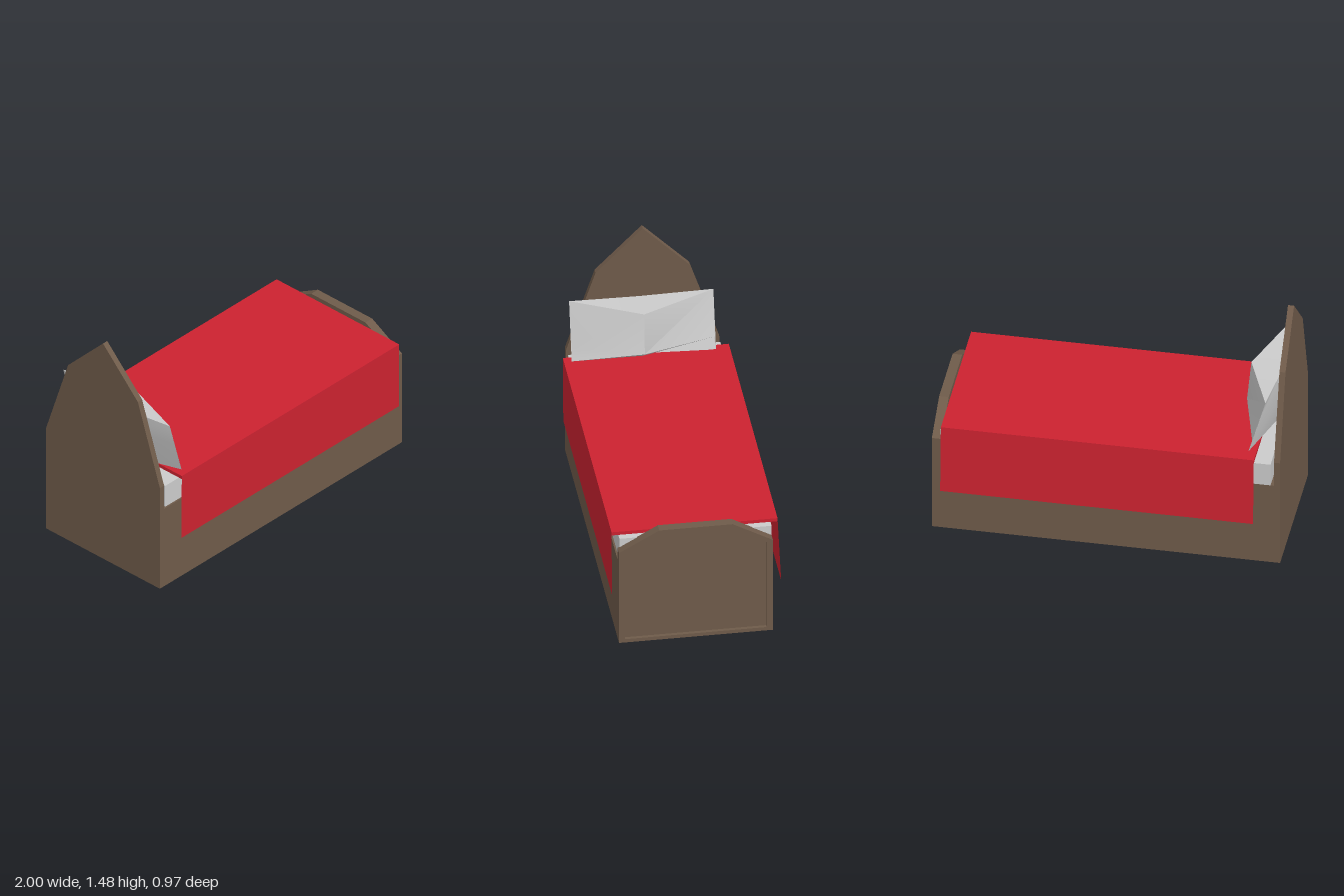
import * as THREE from 'three';
import { toCreasedNormals } from 'three/addons/utils/BufferGeometryUtils.js';

const CENTER_Z = 0.01;

export function createModel() {
  const bed = new THREE.Group();
  bed.name = 'bed';
  const wood = new THREE.MeshStandardMaterial({ color: 0x6f5b4a });
  const red = new THREE.MeshStandardMaterial({ color: 0xcc2230, side: THREE.DoubleSide });
  const grey = new THREE.MeshStandardMaterial({ color: 0xcccccc, side: THREE.DoubleSide });

  function add(name, geometry, material) {
    const mesh = new THREE.Mesh(geometry, material);
    mesh.name = name;
    bed.add(mesh);
    return mesh;
  }

  // Box given by its lower and upper limits on each axis
  function box(name, x0, x1, y0, y1, z0, z1, material) {
    const g = new THREE.BoxGeometry(x1 - x0, y1 - y0, z1 - z0);
    g.translate((x0 + x1) / 2, (y0 + y1) / 2, (z0 + z1) / 2);
    return add(name, g, material);
  }

  // Symmetric outline from [half width, height] points, bottom to top
  function outline(half) {
    const right = half.map(([w, y]) => new THREE.Vector2(w, y));
    const left = half.filter(([w]) => w > 0).reverse().map(([w, y]) => new THREE.Vector2(-w, y));
    return [...right, ...left];
  }

  // Upright board: outline extruded along x
  function board(name, shape, x, thickness) {
    const g = new THREE.ExtrudeGeometry(shape, { depth: thickness, bevelEnabled: false });
    g.rotateY(Math.PI / 2);
    g.translate(x, 0, CENTER_Z);
    add(name, g, wood);
  }

  // Frame and mattress
  box('bedBase', -0.97, 0.95, 0, 0.53, -0.43, 0.45, wood);
  box('mattress', -0.945, 0.95, 0.53, 0.673, -0.43, 0.44, grey);

  // Pointed headboard
  board('headboard', new THREE.Shape(outline([[0.44, 0], [0.44, 0.69], [0.27, 1.2], [0, 1.475]])), -1, 0.035);

  // Footboard: raised rim around a recessed panel
  const inner = outline([[0.405, 0.022], [0.405, 0.598], [0.2, 0.72]]);
  const rim = new THREE.Shape(outline([[0.44, 0], [0.44, 0.61], [0.21, 0.74]]));
  rim.holes.push(new THREE.Path(inner));
  board('footboardRim', rim, 0.945, 0.055);
  board('footboardPanel', new THREE.Shape(inner), 0.96, 0.02);

  // Blanket: top slab with a thin sheet hanging down each side
  const [bx0, bx1] = [-0.855, 0.942];
  box('blanketTop', bx0, bx1, 0.695, 0.716, -0.465, 0.484, red);
  function drop(name, zTop, zBottom) {
    const g = new THREE.PlaneGeometry(bx1 - bx0, 0.425);
    const p = g.attributes.position;
    for (let i = 0; i < p.count; i++) {
      const top = p.getY(i) > 0;
      p.setXYZ(i, p.getX(i) + (bx0 + bx1) / 2, top ? 0.715 : 0.29, top ? zTop : zBottom);
    }
    if (zTop < 0) g.index.array.reverse();
    g.computeVertexNormals();
    add(name, g, red);
  }
  drop('blanketFrontDrop', 0.484, 0.481);
  drop('blanketBackDrop', -0.465, -0.486);

  // Pillow: full section in the middle, pinched to a leaning edge at both ends
  const middle = [[-0.94, 1.035], [-0.75, 1.035], [-0.725, 0.78], [-0.83, 0.7], [-0.94, 0.715], [-0.965, 0.92]];
  const end = [[-0.907, 1.063], [-0.907, 1.063], [-0.832, 0.79], [-0.81, 0.718], [-0.81, 0.718], [-0.867, 0.92]];
  const sections = [[end, -0.385], [middle, 0.035], [end, 0.44]];
  const n = middle.length;
  const points = sections.flatMap(([s, z]) => s.flatMap(([x, y]) => [x, y, z]));
  const index = [];
  for (let s = 0; s < sections.length - 1; s++) {
    for (let i = 0; i < n; i++) {
      const j = (i + 1) % n;
      const a = s * n + i, b = s * n + j, c = b + n, d = a + n;
      const pinched = i === 0 || i === 3;
      // Skip the zero-area half where an end collapses to a point
      if (pinched && s === 0) index.push(a, d, c);
      else if (pinched) index.push(a, d, b);
      else index.push(a, d, c, a, c, b);
    }
  }
  const pillow = new THREE.BufferGeometry();
  pillow.setAttribute('position', new THREE.Float32BufferAttribute(points, 3));
  pillow.setIndex(index);
  add('pillow', toCreasedNormals(pillow, 1.0), grey);

  return bed;
}
